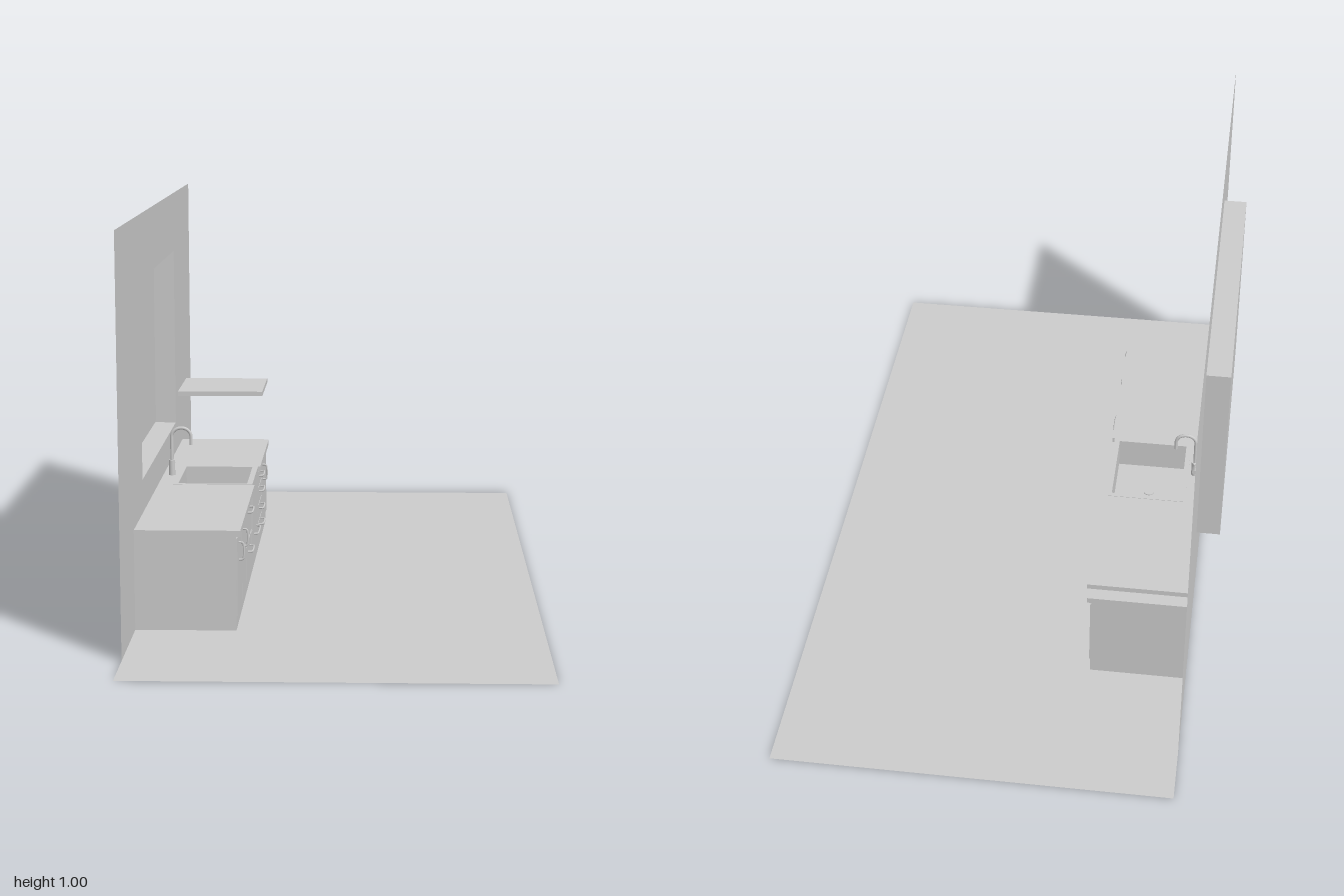
import * as THREE from 'three';

const mat = new THREE.MeshStandardMaterial({ color: 0xcccccc, side: THREE.DoubleSide });

export function createModel() {
  const root = new THREE.Group();

  const add = (name, geometry, parent = root) => {
    const mesh = new THREE.Mesh(geometry, mat);
    mesh.name = name;
    parent.add(mesh);
    return mesh;
  };
  // Box from its min and max on each axis
  const box = (name, x0, x1, y0, y1, z0, z1, parent = root) => {
    const m = add(name, new THREE.BoxGeometry(x1 - x0, y1 - y0, z1 - z0), parent);
    m.position.set((x0 + x1) / 2, (y0 + y1) / 2, (z0 + z1) / 2);
    return m;
  };
  const group = (name) => {
    const g = new THREE.Group();
    g.name = name;
    root.add(g);
    return g;
  };

  // Floor
  const wallX = -0.47;
  const floor = add('floor', new THREE.PlaneGeometry(1, 2).rotateX(-Math.PI / 2));
  floor.position.x = 0.03;

  // Wall with a window opening
  const W = 0.403, y0 = 0.335, y1 = 0.835;
  const wall = new THREE.Shape([[-0.85, 0], [0.85, 0], [0.85, 1], [-0.85, 1]].map(p => new THREE.Vector2(...p)));
  wall.holes.push(new THREE.Path([[-W, y0], [-W, y1], [W, y1], [W, y0]].map(p => new THREE.Vector2(...p))));
  add('wall', new THREE.ShapeGeometry(wall).rotateY(Math.PI / 2)).position.x = wallX;

  // Window recess: reveal planes and pane
  const win = group('window');
  const backX = -0.53, depth = wallX - backX, midX = (wallX + backX) / 2;
  for (const y of [y0, y1]) {
    add('windowReveal', new THREE.PlaneGeometry(depth, 2 * W).rotateX(-Math.PI / 2), win).position.set(midX, y, 0);
  }
  for (const z of [-W, W]) {
    add('windowReveal', new THREE.PlaneGeometry(depth, y1 - y0), win).position.set(midX, (y0 + y1) / 2, z);
  }
  add('windowBack', new THREE.PlaneGeometry(2 * W, y1 - y0).rotateY(Math.PI / 2), win).position.set(backX, (y0 + y1) / 2, 0);
  box('windowPane', backX + 0.001, backX + 0.003, y0 + 0.008, y1 - 0.008, 0.008 - W, W - 0.008, win);

  // Shelf
  box('shelf', wallX, -0.222, 0.402, 0.415, -0.72, -0.47);

  // Cabinet body, lower where the sink sits
  const cab = group('cabinet');
  const frontX = -0.222, end = 0.592, s0 = -0.187, s1 = 0.063;
  box('cabinetLeft', wallX, frontX, 0, 0.235, s1, end, cab);
  box('cabinetRight', wallX, frontX, 0, 0.235, -end, s0, cab);
  box('cabinetUnderSink', wallX, frontX, 0, 0.125, s0, s1, cab);

  // Worktop around the sink
  const top = group('worktop');
  box('worktopLeft', wallX, -0.211, 0.235, 0.25, s1, end, top);
  box('worktopRight', wallX, -0.211, 0.235, 0.25, -end, s0, top);
  box('worktopBack', wallX, -0.43, 0.235, 0.25, s0, s1, top);

  // Sink: four walls, bottom and drain
  const sink = group('sink');
  const rim = 0.251, low = 0.125, bottom = 0.17, t = 0.013;
  box('sinkFront', -0.232, -0.217, low, rim, s0, s1, sink);
  box('sinkBack', -0.43, -0.417, low, rim, s0, s1, sink);
  box('sinkSide', -0.417, -0.232, low, rim, s0, s0 + t, sink);
  box('sinkSide', -0.417, -0.232, low, rim, s1 - t, s1, sink);
  box('sinkBottom', -0.417, -0.232, low, bottom, s0 + t, s1 - t, sink);
  add('drain', new THREE.CylinderGeometry(0.014, 0.014, 0.003, 20), sink).position.set(-0.325, bottom + 0.001, -0.062);

  // Doors and drawers: [z min, z max, y min, y max]
  const panels = [
    [0.436, 0.588, 0.035, 0.23], [0.288, 0.43, 0.035, 0.23],
    [0.07, 0.282, 0.135, 0.23], [0.07, 0.282, 0.035, 0.13],
    [-0.187, 0.064, 0.035, 0.12], [-0.588, -0.376, 0.035, 0.23],
  ];
  for (let i = 0; i < 4; i++) panels.push([-0.37, -0.193, 0.035 + i * 0.049, 0.08 + i * 0.049]);
  const fronts = group('doorsAndDrawers');
  for (const [za, zb, ya, yb] of panels) box('frontPanel', frontX, -0.219, ya, yb, za, zb, fronts);

  // Bow handles, horizontal along z or upright along y
  const handles = group('handles');
  const handle = (y, z, length, upright) => {
    const h = length / 2, out = 0.013;
    const pts = [[0, -h], [out * 0.85, -h * 0.93], [out, -h * 0.6], [out, h * 0.6], [out * 0.85, h * 0.93], [0, h]];
    const curve = new THREE.CatmullRomCurve3(pts.map(([x, s]) =>
      upright ? new THREE.Vector3(x, s, 0) : new THREE.Vector3(x, 0, s)), false, 'centripetal');
    add('handle', new THREE.TubeGeometry(curve, 20, 0.0025, 8), handles).position.set(-0.22, y, z);
  };
  for (const z of [0.535, 0.394, -0.42]) handle(0.186, z, 0.044, true);
  for (const y of [0.21, 0.105]) handle(y, 0.183, 0.072, false);
  for (const y of [0.21, 0.166, 0.116, 0.07]) handle(y, -0.285, 0.07, false);
  handle(0.097, -0.066, 0.1, false);

  // Tap: base, curved spout and side lever
  const tap = group('tap');
  tap.position.set(-0.446, 0.25, -0.066);
  add('tapBase', new THREE.CylinderGeometry(0.0085, 0.0085, 0.042, 20), tap).position.y = 0.021;
  const spout = new THREE.CurvePath();
  const v = (x, y) => new THREE.Vector3(x, y, 0);
  spout.add(new THREE.LineCurve3(v(0, 0.04), v(0, 0.106)));
  spout.add(new THREE.CubicBezierCurve3(v(0, 0.106), v(0, 0.139), v(0.053, 0.139), v(0.053, 0.106)));
  spout.add(new THREE.LineCurve3(v(0.053, 0.106), v(0.053, 0.084)));
  add('tapSpout', new THREE.TubeGeometry(spout, 48, 0.0045, 12), tap);
  add('spoutEnd', new THREE.CircleGeometry(0.0045, 12).rotateX(Math.PI / 2), tap).position.set(0.053, 0.084, 0);
  add('leverHub', new THREE.CylinderGeometry(0.006, 0.006, 0.022, 16).rotateX(Math.PI / 2), tap).position.set(0, 0.028, -0.016);
  const lever = add('lever', new THREE.CylinderGeometry(0.0025, 0.0025, 0.026, 10), tap);
  lever.position.set(0, 0.04, -0.023);

  return root;
}
